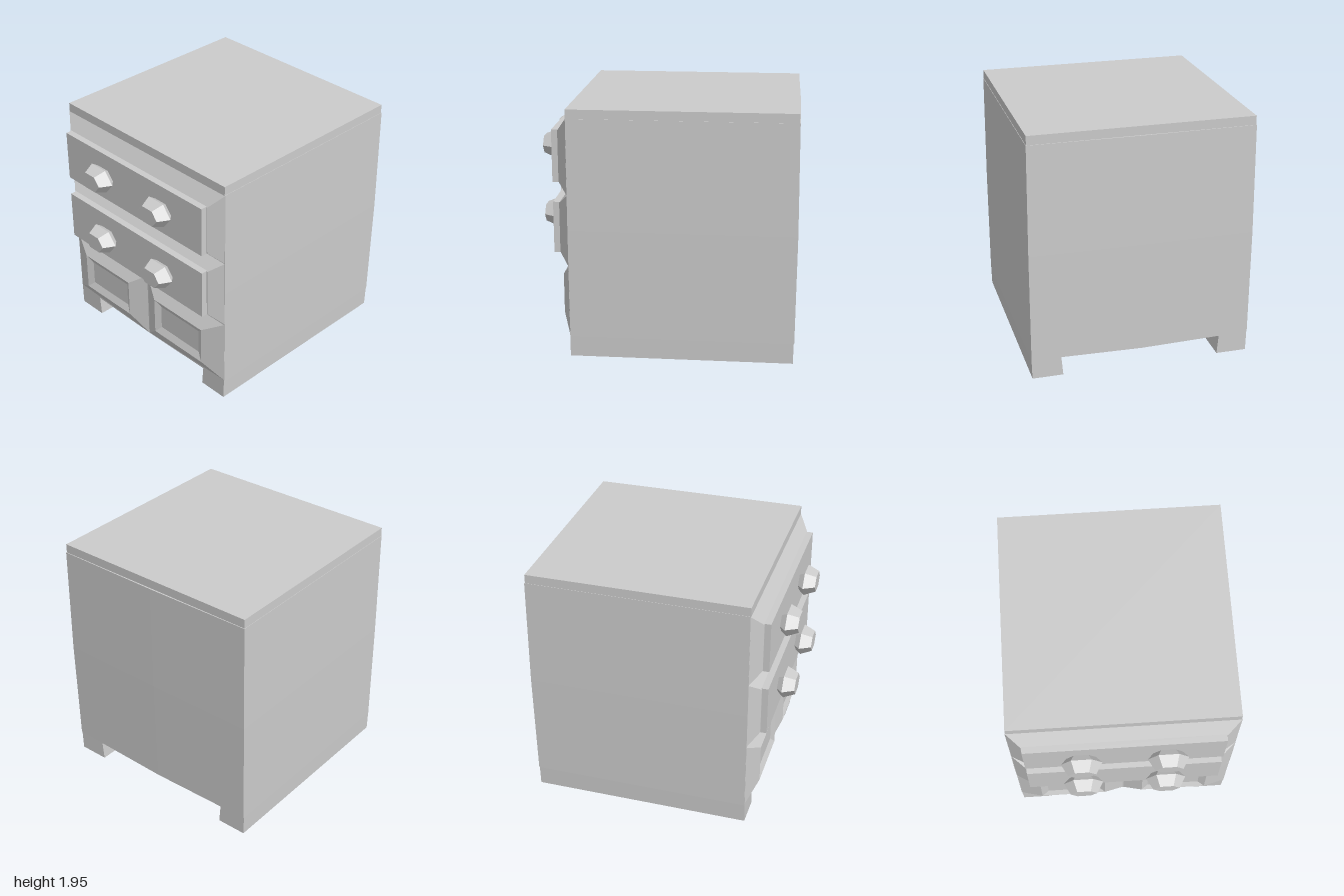
import * as THREE from 'three';

const material = new THREE.MeshStandardMaterial({ color: 0xcccccc, flatShading: true });

function add(parent, name, geometry, x = 0, y = 0, z = 0) {
  const mesh = new THREE.Mesh(geometry, material);
  mesh.name = name;
  mesh.position.set(x, y, z);
  parent.add(mesh);
  return mesh;
}

// Four counter-clockwise corners of a rectangle; the lower corners may differ in height
const rect = (x0, x1, y0, y1, z, y0Right = y0) =>
  [[x0, y0, z], [x1, y0Right, z], [x1, y1, z], [x0, y1, z]];

// Joins rectangular rings one after another and closes the last one
function ringPanel(rings) {
  const positions = [];
  const quad = (a, b, c, d) => positions.push(...a, ...b, ...c, ...a, ...c, ...d);
  for (let r = 0; r < rings.length - 1; r++) {
    for (let i = 0; i < 4; i++) {
      const j = (i + 1) % 4;
      quad(rings[r][i], rings[r][j], rings[r + 1][j], rings[r + 1][i]);
    }
  }
  quad(...rings[rings.length - 1]);
  const geometry = new THREE.BufferGeometry();
  geometry.setAttribute('position', new THREE.Float32BufferAttribute(positions, 3));
  geometry.computeVertexNormals();
  return geometry;
}

// Main box whose sides, back and underside swell slightly at their middles
function carcassGeometry() {
  const geometry = new THREE.BoxGeometry(1.73, 1.715, 1.725, 2, 2, 1);
  geometry.translate(0, 1.0175, -0.1225);
  const p = geometry.attributes.position;
  for (let i = 0; i < p.count; i++) {
    const x = p.getX(i), y = p.getY(i), z = p.getZ(i);
    const middleX = Math.abs(x) < 0.01, middleY = Math.abs(y - 1.0175) < 0.01;
    if (middleY) p.setX(i, x * 1.005);
    if (middleX && y < 0.5) p.setY(i, y - 0.015);
    if (z < 0) p.setZ(i, z - (middleX ? 0.007 : 0) - (middleY ? 0.007 : 0));
  }
  geometry.computeVertexNormals();
  return geometry;
}

// Stretched six-sided knob, pointing forward
function knobGeometry() {
  const profile = [[0, 0], [0.11, 0], [0.155, 0.045], [0.105, 0.135], [0, 0.135]]
    .map(([r, y]) => new THREE.Vector2(r, y));
  return new THREE.LatheGeometry(profile, 6)
    .rotateY(Math.PI / 2).rotateX(Math.PI / 2).scale(1, 0.72, 1);
}

export function createModel() {
  const model = new THREE.Group();
  model.name = 'nightstand';

  add(model, 'carcass', carcassGeometry());
  add(model, 'topBoard', new THREE.BoxGeometry(1.724, 0.07, 1.72), 0, 1.91, -0.12);

  // Foot runners along both sides, slightly tapered on the inner face
  for (const side of [1, -1]) {
    const shape = new THREE.Shape([[0.62, 0], [0.86, 0], [0.865, 0.18], [0.636, 0.18]]
      .map(([x, y]) => new THREE.Vector2(side * x, y)));
    const runner = new THREE.ExtrudeGeometry(shape, { depth: 1.72, bevelEnabled: false });
    add(model, side > 0 ? 'leftFoot' : 'rightFoot', runner, 0, 0, -0.98);
  }

  // Two drawers: sloped surround, raised front and a pair of knobs
  const knob = knobGeometry();
  [['upperDrawer', 1.29, 1.875, 1.365, 1.77], ['lowerDrawer', 0.73, 1.29, 0.81, 1.21]]
    .forEach(([name, y0, y1, inner0, inner1]) => {
      const drawer = new THREE.Group();
      drawer.name = name;
      model.add(drawer);
      add(drawer, 'drawerSurround', ringPanel([
        rect(-0.868, 0.868, y0, y1, 0.738),
        rect(-0.765, 0.765, inner0 + 0.005, inner1 - 0.005, 0.818)]));
      add(drawer, 'drawerFront', new THREE.BoxGeometry(1.515, inner1 - inner0, 0.055),
        0, (inner0 + inner1) / 2, 0.8385);
      for (const x of [-0.325, 0.325]) add(drawer, 'knob', knob, x, (inner0 + inner1) / 2, 0.865);
    });

  // Two doors with a sloped rim and a sunken centre panel
  for (const side of [1, -1]) {
    const span = (a, b) => (side > 0 ? [a, b] : [-b, -a]);
    const [bottomL, bottomR] = side > 0 ? [0.145, 0.175] : [0.175, 0.145];
    add(model, side > 0 ? 'leftDoor' : 'rightDoor', ringPanel([
      rect(...span(0, 0.868), bottomL, 0.725, 0.738, bottomR),
      rect(...span(0.155, 0.685), 0.295, 0.61, 0.812),
      rect(...span(0.205, 0.63), 0.35, 0.555, 0.785)]));
  }

  return model;
}
